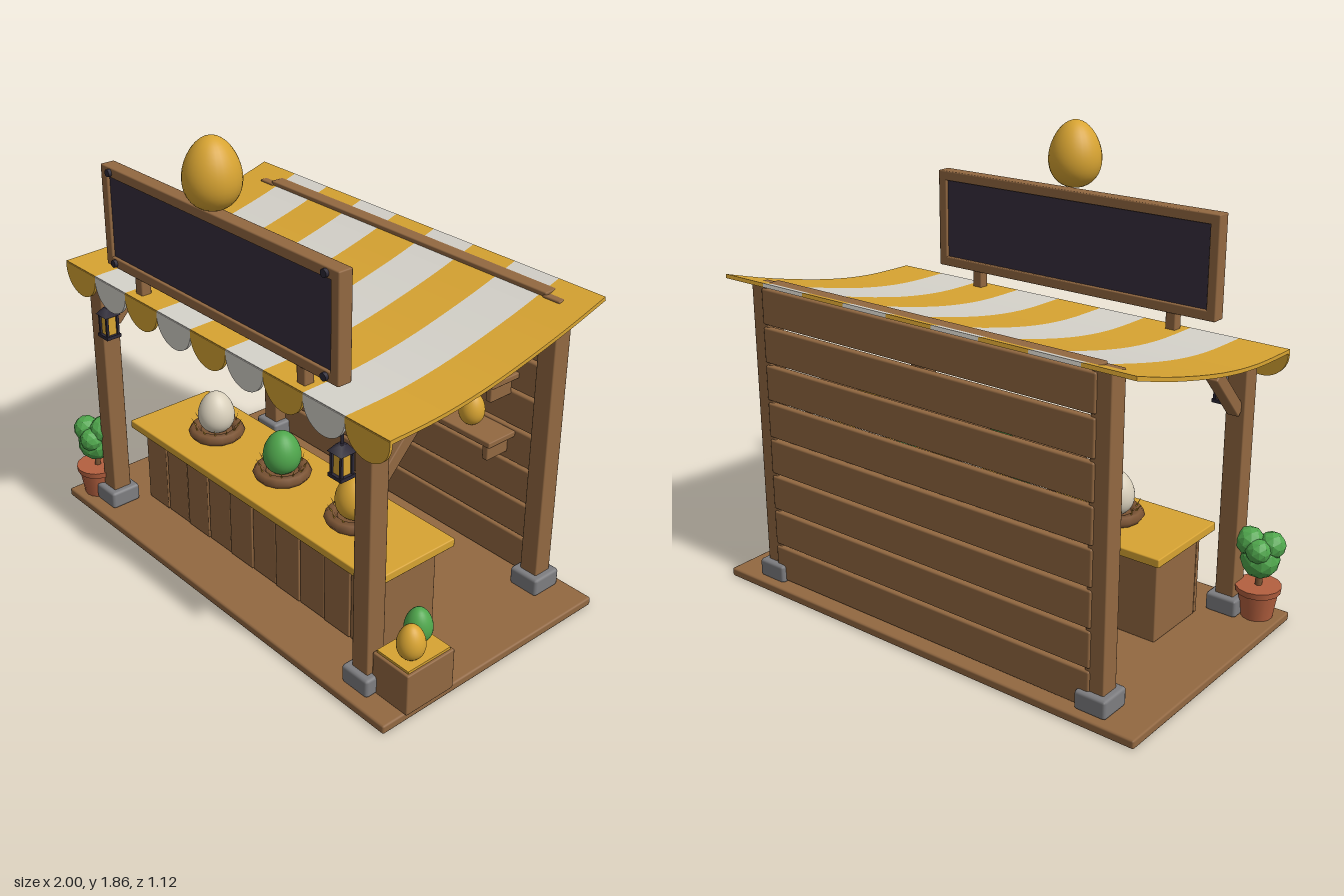
import * as THREE from 'three';
import { RoundedBoxGeometry } from 'three/addons/geometries/RoundedBoxGeometry.js';

const mat = (name, color) => {
  const m = new THREE.MeshStandardMaterial({ color });
  m.name = name;
  return m;
};

export function createModel() {
  const wood = mat('wood', 0x926841);
  const darkWood = mat('nest brown', 0x7b5434);
  const gold = mat('gold', 0xd8a432);
  const white = mat('canvas white', 0xd6d3cb);
  const cream = mat('cream shell', 0xd9d0bc);
  const green = mat('green', 0x4fa64c);
  const panel = mat('board dark', 0x362d3d);
  const iron = mat('iron', 0x2c2836);
  const stone = mat('stone', 0x7d7d80);
  const clay = mat('clay', 0xb4603f);

  const root = new THREE.Group();
  root.name = 'eggStall';
  const stall = new THREE.Group();
  stall.name = 'stall';
  stall.position.x = -0.008;
  root.add(stall);

  const add = (name, geo, material, x = 0, y = 0, z = 0, parent = stall) => {
    const m = new THREE.Mesh(geo, material);
    m.name = name;
    m.position.set(x, y, z);
    parent.add(m);
    return m;
  };
  // softly bevelled block given by its ranges on each axis
  const block = (name, material, [x0, x1], [y0, y1], [z0, z1], r = 0.005) =>
    add(name, new RoundedBoxGeometry(x1 - x0, y1 - y0, z1 - z0, 1, r), material,
      (x0 + x1) / 2, (y0 + y1) / 2, (z0 + z1) / 2);

  // egg standing with its lowest point at y
  const egg = (name, material, x, y, z, radius, height) => {
    const pts = [];
    for (let i = 0; i <= 20; i++) {
      const t = Math.PI * i / 20;
      const r = i % 20 ? radius * Math.sin(t) * (1 + 0.15 * Math.cos(t)) : 0;
      pts.push(new THREE.Vector2(r, height / 2 * (1 - Math.cos(t))));
    }
    add(name, new THREE.LatheGeometry(pts, 28), material, x, y, z);
  };

  // floor, posts, stone feet and braces
  block('floor', wood, [-0.992, 0.992], [0, 0.035], [-0.555, 0.547], 0.008);
  for (const s of [-1, 1]) {
    const x = s * 0.787;
    for (const [name, z, top] of [['frontPost', 0.43, 1.09], ['backPost', -0.455, 1.275]]) {
      block(name, wood, [x - 0.04, x + 0.04], [0.035, top], [z - 0.04, z + 0.04]);
      block('stoneFoot', stone, [x - 0.066, x + 0.066], [0.035, 0.11], [z - 0.067, z + 0.067], 0.012);
    }
    const brace = add('brace', new RoundedBoxGeometry(0.05, 0.26, 0.05, 1, 0.005), wood, x, 0.97, 0.305);
    brace.rotation.x = -0.75;
  }
  block('frontBeam', wood, [-0.78, 0.78], [1.04, 1.1], [0.4, 0.46]);
  block('backBeam', wood, [-0.76, 0.76], [1.21, 1.285], [-0.485, -0.42]);

  // back wall planks
  for (let i = 0; i < 8; i++) {
    const y = 0.043 + i * 0.1545;
    block('wallPlank', wood, [-0.77, 0.77], [y, y + 0.144], [-0.503, -0.473], 0.008);
  }

  // shelves with brackets
  for (const y of [0.62, 0.872]) {
    block('shelf', wood, [-0.625, 0.625], [y, y + 0.025], [-0.475, -0.328]);
    for (const x of [-0.577, 0.577])
      block('shelfBracket', wood, [x - 0.014, x + 0.014], [y - 0.08, y], [-0.475, -0.36]);
  }
  for (const [m, x, y] of [[green, -0.313, 0.897], [gold, 0.316, 0.897], [cream, -0.468, 0.645],
    [cream, -0.155, 0.645], [green, 0.16, 0.645], [gold, 0.473, 0.645]])
    egg('shelfEgg', m, x, y, -0.39, 0.051, 0.138);

  // counter
  block('counterBody', wood, [-0.705, 0.705], [0.035, 0.38], [0.02, 0.305]);
  for (let i = 0; i < 10; i++) {
    const x = -0.71 + i * 0.142;
    block('counterBoard', wood, [x + 0.002, x + 0.14], [0.04, 0.38], [0.3, 0.32 - (i % 2) * 0.003], 0.004);
  }
  block('counterTop', gold, [-0.745, 0.745], [0.38, 0.415], [-0.035, 0.37]);

  // nests with straw and display eggs
  [[cream, -0.418], [green, 0.003], [gold, 0.422]].forEach(([m, x]) => {
    const z = 0.165;
    const ring = add('nest', new THREE.TorusGeometry(0.09, 0.027, 6, 14), darkWood, x, 0.437, z);
    ring.rotation.x = Math.PI / 2;
    ring.scale.z = 0.85;
    add('nestBed', new THREE.CylinderGeometry(0.08, 0.08, 0.025, 14), darkWood, x, 0.428, z);
    for (let i = 0; i < 12; i++) {
      const a = i * Math.PI / 6 + 0.2;
      const straw = add('straw', new THREE.ConeGeometry(0.005, 0.06, 4), gold,
        x + Math.cos(a) * 0.09, 0.465, z + Math.sin(a) * 0.09);
      const lean = 0.35 + (i % 3) * 0.2;
      straw.quaternion.setFromUnitVectors(new THREE.Vector3(0, 1, 0),
        new THREE.Vector3(Math.cos(a) * lean, 1, Math.sin(a) * lean).normalize());
    }
    egg('displayEgg', m, x, 0.432, z, 0.075, 0.18);
  });

  // striped awning: sagging cloth plus a scalloped valance
  const sag = new THREE.SplineCurve([[-0.528, 1.285], [-0.3, 1.218], [0, 1.148], [0.25, 1.112], [0.495, 1.102]]
    .map(p => new THREE.Vector2(...p))).getPoints(16);
  const cloth = new THREE.Shape([...sag,
    ...sag.slice().reverse().map(p => new THREE.Vector2(p.x + 0.003, p.y + 0.015))]);
  const w = 1.874 / 9;
  const scallop = new THREE.Shape();
  scallop.moveTo(-w / 2, 1.113);
  scallop.lineTo(-w / 2, 1.095);
  scallop.absellipse(0, 1.095, w / 2, 0.097, Math.PI, Math.PI * 2, false, 0);
  scallop.lineTo(w / 2, 1.113);
  for (let i = 0; i < 9; i++) {
    const x = (i - 4) * w, m = i % 2 ? white : gold;
    const strip = new THREE.ExtrudeGeometry(cloth, { depth: w, bevelEnabled: false });
    strip.rotateY(-Math.PI / 2);
    add('awningStripe', strip, m, x + w / 2);
    add('valanceScallop', new THREE.ExtrudeGeometry(scallop,
      { depth: 0.012, bevelEnabled: false, curveSegments: 16 }), m, x, 0, 0.488);
  }

  // sign board with frame, bolts and supports
  add('signPanel', new THREE.BoxGeometry(1.27, 0.35, 0.036), panel, 0, 1.388, 0.445);
  for (const [y0, y1] of [[1.185, 1.225], [1.55, 1.59]])
    block('signRail', wood, [-0.668, 0.668], [y0, y1], [0.415, 0.475]);
  for (const s of [-1, 1]) {
    block('signStile', wood, [s * 0.648 - 0.02, s * 0.648 + 0.02], [1.187, 1.588], [0.415, 0.475]);
    block('signSupport', wood, [s * 0.472 - 0.022, s * 0.472 + 0.022], [1.09, 1.2], [0.423, 0.467]);
    for (const y of [1.205, 1.57]) {
      const bolt = add('bolt', new THREE.CylinderGeometry(0.015, 0.015, 0.02, 10), iron, s * 0.607, y, 0.478);
      bolt.rotation.x = Math.PI / 2;
    }
  }
  egg('crownEgg', gold, 0.003, 1.597, 0.455, 0.104, 0.263);

  // hanging lanterns
  for (const s of [-1, 1]) {
    const lamp = new THREE.Group();
    lamp.name = 'lantern';
    lamp.position.set(s * 0.69, 0, 0.475);
    stall.add(lamp);
    add('lanternGlass', new THREE.BoxGeometry(0.042, 0.09, 0.042), gold, 0, 0.92, 0, lamp);
    add('lanternBase', new THREE.BoxGeometry(0.066, 0.014, 0.066), iron, 0, 0.87, 0, lamp);
    const cap = add('lanternCap', new THREE.CylinderGeometry(0.018, 0.05, 0.03, 4), iron, 0, 0.975, 0, lamp);
    cap.rotation.y = Math.PI / 4;
    add('lanternHook', new THREE.CylinderGeometry(0.006, 0.006, 0.08, 6), iron, 0, 1.02, 0, lamp);
    for (const i of [-1, 1]) for (const j of [-1, 1])
      add('lanternBar', new THREE.BoxGeometry(0.01, 0.095, 0.01), iron, i * 0.024, 0.917, j * 0.024, lamp);
  }

  // potted bush
  const px = -0.9, pz = 0.453;
  add('pot', new THREE.CylinderGeometry(0.08, 0.062, 0.115, 14), clay, px, 0.0925, pz);
  add('potRim', new THREE.CylinderGeometry(0.09, 0.087, 0.025, 14), clay, px, 0.153, pz);
  add('stem', new THREE.CylinderGeometry(0.012, 0.015, 0.09, 6), darkWood, px, 0.19, pz);
  const leaf = green.clone();
  leaf.name = 'leaf green';
  leaf.flatShading = true;
  for (const [x, y, z, r] of [[0, 0.275, 0, 0.077], [-0.035, 0.335, 0.02, 0.055],
    [0.04, 0.345, -0.015, 0.058], [-0.01, 0.325, -0.04, 0.05], [0.025, 0.31, 0.035, 0.05]])
    add('foliage', new THREE.IcosahedronGeometry(r, 1), leaf, px + x, y, pz + z);

  // crate of eggs
  block('crate', wood, [0.83, 1.005], [0.035, 0.205], [0.222, 0.45]);
  add('crateStraw', new THREE.BoxGeometry(0.155, 0.014, 0.205), gold, 0.917, 0.208, 0.336);
  egg('crateEgg', gold, 0.943, 0.213, 0.377, 0.052, 0.138);
  egg('crateEgg', green, 0.893, 0.213, 0.292, 0.052, 0.138);

  return root;
}
